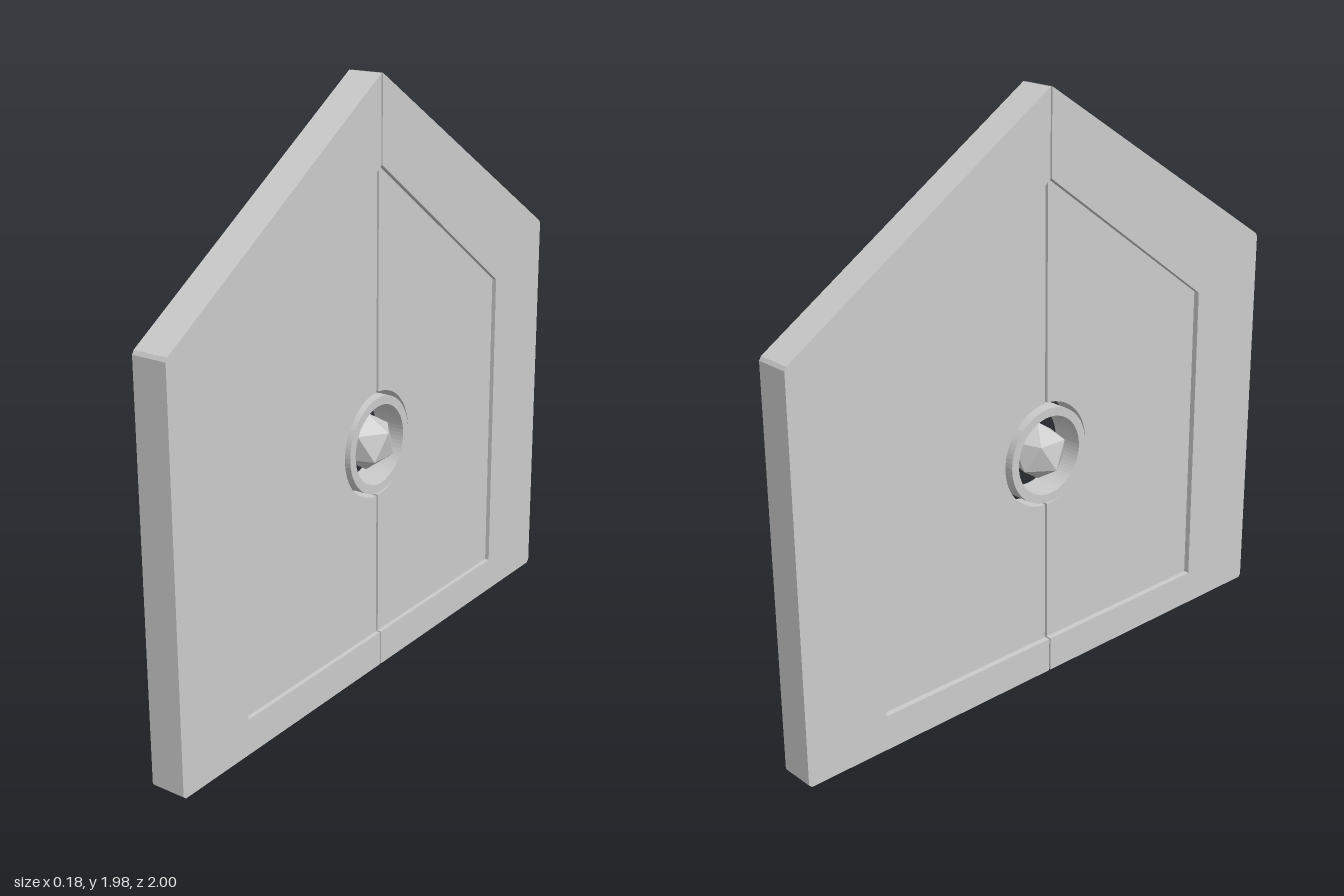
import * as THREE from 'three';

const GAP = 0.003;      // half the seam between the two door leaves
const HUB_Y = 0.79;     // height of the round opening
const mat = new THREE.MeshStandardMaterial({ color: 0xcccccc, flatShading: true });
const smooth = new THREE.MeshStandardMaterial({ color: 0xcccccc });

// Extrude a (z, y) outline along x, from x0 to x1
function slab(name, shape, x0, x1, material = mat) {
  const geo = new THREE.ExtrudeGeometry(shape, { depth: x1 - x0, bevelEnabled: false, curveSegments: 32 });
  geo.rotateY(Math.PI / 2);
  geo.translate(x0, 0, 0);
  const mesh = new THREE.Mesh(geo, material);
  mesh.name = name;
  return mesh;
}

const outline = (s, pts) => new THREE.Shape(pts.map(([u, y]) => new THREE.Vector2(s * u, y)));

// One leaf: outer frame plus recessed panel with a half-round cut-out
function leaf(s) {
  const g = new THREE.Group();
  g.name = s > 0 ? 'rearLeaf' : 'frontLeaf';

  const frame = outline(s, [
    [GAP, 0], [0.99, 0], [1, 0.01], [1, 1.333], [0.993, 1.345], [GAP, 1.98],
    [GAP, 1.70], [0.70, 1.19], [0.70, 0.12], [GAP, 0.12],
  ]);
  g.add(slab('frame', frame, -0.06, 0.06));

  const r = 0.178, seam = 0.005, a0 = Math.acos(seam / r), arc = [];
  for (let i = 0; i <= 32; i++) {
    const a = a0 - (2 * a0 * i) / 32;
    arc.push([r * Math.cos(a), HUB_Y + r * Math.sin(a)]);
  }
  const panel = outline(s, [
    [seam, 0.12], [0.70, 0.12], [0.70, 1.19], [seam, 1.697], ...arc,
  ]);
  g.add(slab('panel', panel, -0.04, 0.045));
  return g;
}

export function createModel() {
  const model = new THREE.Group();
  model.name = 'door';
  for (const s of [1, -1]) model.add(leaf(s));

  // Free-standing ring inside the round opening
  const ringShape = new THREE.Shape().absarc(0, HUB_Y, 0.163, 0, Math.PI * 2);
  ringShape.holes.push(new THREE.Path().absarc(0, HUB_Y, 0.134, 0, Math.PI * 2, true));
  model.add(slab('ring', ringShape, -0.055, 0.055, smooth));

  // Faceted gem, turned so that one corner points straight up
  const gem = new THREE.Mesh(new THREE.IcosahedronGeometry(0.099, 0), mat);
  gem.name = 'gem';
  gem.position.y = HUB_Y + 0.002;
  gem.rotation.z = -Math.atan(2 / (1 + Math.sqrt(5)));
  model.add(gem);
  return model;
}
